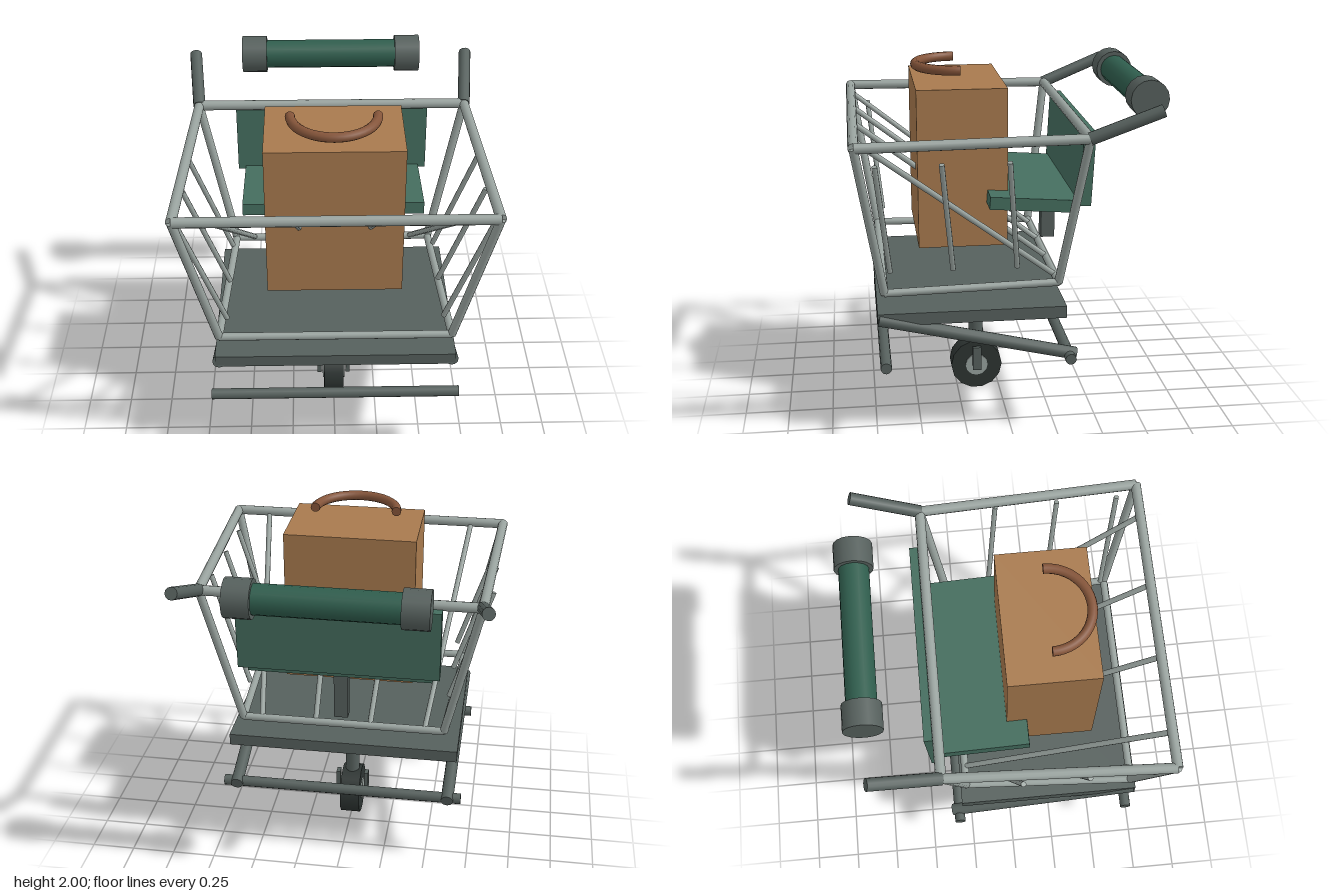
import * as THREE from 'three';

const mat = (color) => new THREE.MeshStandardMaterial({ color });

export function createModel() {
  const cart = new THREE.Group();
  cart.name = 'cart';
  const metal = mat(0x98a29e), dark = mat(0x56605d), green = mat(0x456e5f),
    deepGreen = mat(0x2f5d4d), tan = mat(0xa87a4e), brown = mat(0x85553a), rubber = mat(0x2d3432);

  const add = (name, geometry, material, x = 0, y = 0, z = 0) => {
    const mesh = new THREE.Mesh(geometry, material);
    mesh.name = name;
    mesh.position.set(x, y, z);
    cart.add(mesh);
    return mesh;
  };
  const box = (name, m, w, h, d, x, y, z) => add(name, new THREE.BoxGeometry(w, h, d), m, x, y, z);
  // Round bar between two points
  const bar = (name, m, a, b, r, sides = 12) => {
    const from = new THREE.Vector3(...a), to = new THREE.Vector3(...b);
    const dir = to.clone().sub(from);
    const mesh = add(name, new THREE.CylinderGeometry(r, r, dir.length(), sides), m);
    mesh.position.copy(from).add(to).multiplyScalar(0.5);
    mesh.quaternion.setFromUnitVectors(new THREE.Vector3(0, 1, 0), dir.normalize());
    return mesh;
  };

  // Basket: upper rim, lower rim and corner posts
  const rim = [[-0.825, 1.705, 0.827], [0.825, 1.705, 0.827], [0.768, 1.705, -0.388], [-0.768, 1.705, -0.388]];
  const floor = [[-0.638, 0.858, 0.69], [0.638, 0.858, 0.69], [0.582, 0.858, -0.265], [-0.582, 0.858, -0.265]];
  for (let i = 0; i < 4; i++) {
    const next = (i + 1) % 4;
    bar('upperRim', metal, rim[i], rim[next], 0.028);
    bar('lowerRim', metal, floor[i], floor[next], 0.022);
    bar('cornerPost', metal, rim[i], floor[i], 0.024);
  }

  // Long slanted wires from the front rim to the lower back rim
  for (const x of [-0.63, -0.21, 0.21, 0.63]) {
    bar('slantedWire', metal, [x, 1.7, 0.827], [x * 0.75, 0.865, -0.26], 0.016, 8);
  }

  for (const s of [-1, 1]) {
    // Side wires
    for (const z of [0.725, 0.385, 0.035]) {
      bar('sideWire', metal, [s * 0.81, 1.605, z], [s * 0.59, 0.96, z - 0.07], 0.015, 8);
    }
    // Push handle arms and grip ends
    bar('handleArm', dark, [s * 0.768, 1.705, -0.385], [s * 0.805, 1.852, -0.76], 0.035);
    bar('gripEnd', dark, [s * 0.38, 1.85, -0.757], [s * 0.525, 1.85, -0.757], 0.106, 16);
    // Sloping legs of the lower frame
    bar('lowerLeg', dark, [s * 0.645, 0.709, 0.725], [s * 0.622, 0.445, -0.36], 0.036);
    // Caster fork plates
    box('casterFork', dark, 0.024, 0.145, 0.05, s * 0.087, 0.203, 0.135);
  }
  bar('grip', deepGreen, [-0.39, 1.85, -0.757], [0.39, 1.85, -0.757], 0.082, 16);

  // Tray and cross bars
  box('tray', dark, 1.33, 0.068, 1.03, 0, 0.712, 0.215);
  for (const z of [0.693, -0.322]) bar('crossBar', dark, [-0.7, 0.443, z], [0.7, 0.443, z], 0.031);

  // Child seat
  box('seat', green, 1.03, 0.07, 0.49, 0, 1.283, -0.14).rotation.x = -0.075;
  box('seatBack', green, 1.115, 0.41, 0.065, 0, 1.485, -0.419).rotation.x = -0.05;
  box('seatPost', dark, 0.08, 0.32, 0.08, 0, 1.1, -0.292);

  // Case with a half-ring handle
  box('case', tan, 0.745, 0.885, 0.495, 0, 1.457, 0.237);
  const handle = add('caseHandle', new THREE.TorusGeometry(0.232, 0.027, 10, 24, Math.PI), brown, 0, 1.975, 0.233);
  handle.rotation.x = Math.PI / 2;
  for (const s of [-1, 1]) {
    add('caseHandleEnd', new THREE.CircleGeometry(0.027, 10), brown, s * 0.232, 1.975, 0.233).rotation.y = Math.PI;
  }

  // Caster
  bar('casterStem', dark, [0, 0.26, 0.133], [0, 0.443, 0.133], 0.043);
  bar('casterTyre', rubber, [-0.059, 0.152, 0.135], [0.059, 0.152, 0.135], 0.152, 14);
  bar('casterHub', metal, [-0.067, 0.152, 0.135], [0.067, 0.152, 0.135], 0.067);

  return cart;
}
